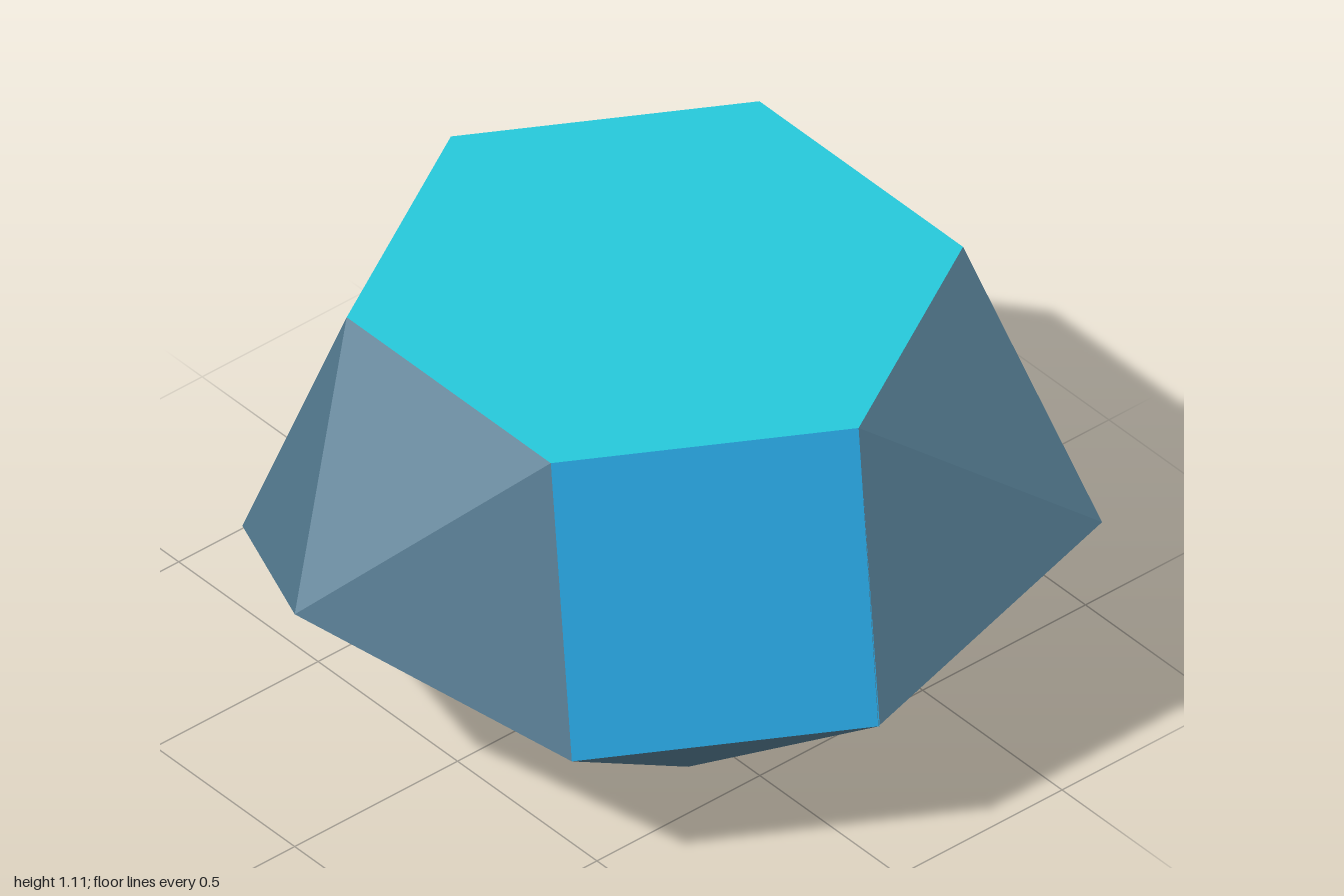
import * as THREE from 'three';

const AXIS_Z = -0.106; // the solid has threefold symmetry about this vertical axis

function makeMaterial(name, color) {
  const m = new THREE.MeshStandardMaterial({ color, flatShading: true });
  m.name = name;
  return m;
}

// Flat convex faces, each turned outwards from the middle of the solid
function makeFaces(name, faces, material) {
  const middle = new THREE.Vector3(0, 0.6, AXIS_Z);
  const positions = [];
  for (const face of faces) {
    const normal = new THREE.Triangle(face[0], face[1], face[2]).getNormal(new THREE.Vector3());
    const ring = normal.dot(face[0].clone().sub(middle)) > 0 ? face : [...face].reverse();
    for (let i = 1; i < ring.length - 1; i++) {
      for (const p of [ring[0], ring[i], ring[i + 1]]) positions.push(p.x, p.y, p.z);
    }
  }
  const geometry = new THREE.BufferGeometry();
  geometry.setAttribute('position', new THREE.Float32BufferAttribute(positions, 3));
  geometry.computeVertexNormals();
  const mesh = new THREE.Mesh(geometry, material);
  mesh.name = name;
  return mesh;
}

export function createModel() {
  const group = new THREE.Group();
  group.name = 'facetedSolid';
  const teal = makeMaterial('teal', 0x26c8da);
  const blue = makeMaterial('blue', 0x25a2dc);
  const slate = makeMaterial('slate', 0x51778d);

  const hexagon = [], squares = [], pentagons = [], upper = [], lower = [], base = [];

  // One third of the solid, turned three times about the axis
  for (let k = 0; k < 3; k++) {
    const turn = (k * Math.PI * 2) / 3;
    const point = (x, y, z, extra = 0) =>
      new THREE.Vector3(x, y, z - AXIS_Z)
        .applyAxisAngle(new THREE.Vector3(0, 1, 0), turn + extra)
        .add(new THREE.Vector3(0, 0, AXIS_Z));

    const topL = point(0.366, 1.108, 0.527), topR = point(-0.366, 1.108, 0.527);
    const topNext = point(0.731, 1.108, AXIS_Z);
    const apex = point(0, 0.685, 1.0);
    const rimL = point(0.591, 0.425, 0.655), rimR = point(-0.591, 0.425, 0.655);
    const rimNext = point(0.956, 0.425, 0.022);
    const baseL = point(0.366, 0, 0.105), baseR = point(-0.366, 0, 0.105);

    hexagon.push(topR, topL);
    squares.push([topL, rimL, rimNext, topNext]);
    pentagons.push([apex, rimR, baseR, baseL, rimL]);
    upper.push([topR, apex, topL], [topL, apex, rimL], [topR, rimR, apex]);
    lower.push([rimL, baseL, rimNext]);
    base.push(baseL);
  }

  group.add(
    makeFaces('topHexagon', [hexagon], teal),
    makeFaces('sideSquares', squares, blue),
    makeFaces('lowerPentagons', pentagons, slate),
    makeFaces('upperTriangles', upper, slate),
    makeFaces('lowerTriangles', lower, slate),
    makeFaces('baseTriangle', [base], slate)
  );
  return group;
}
